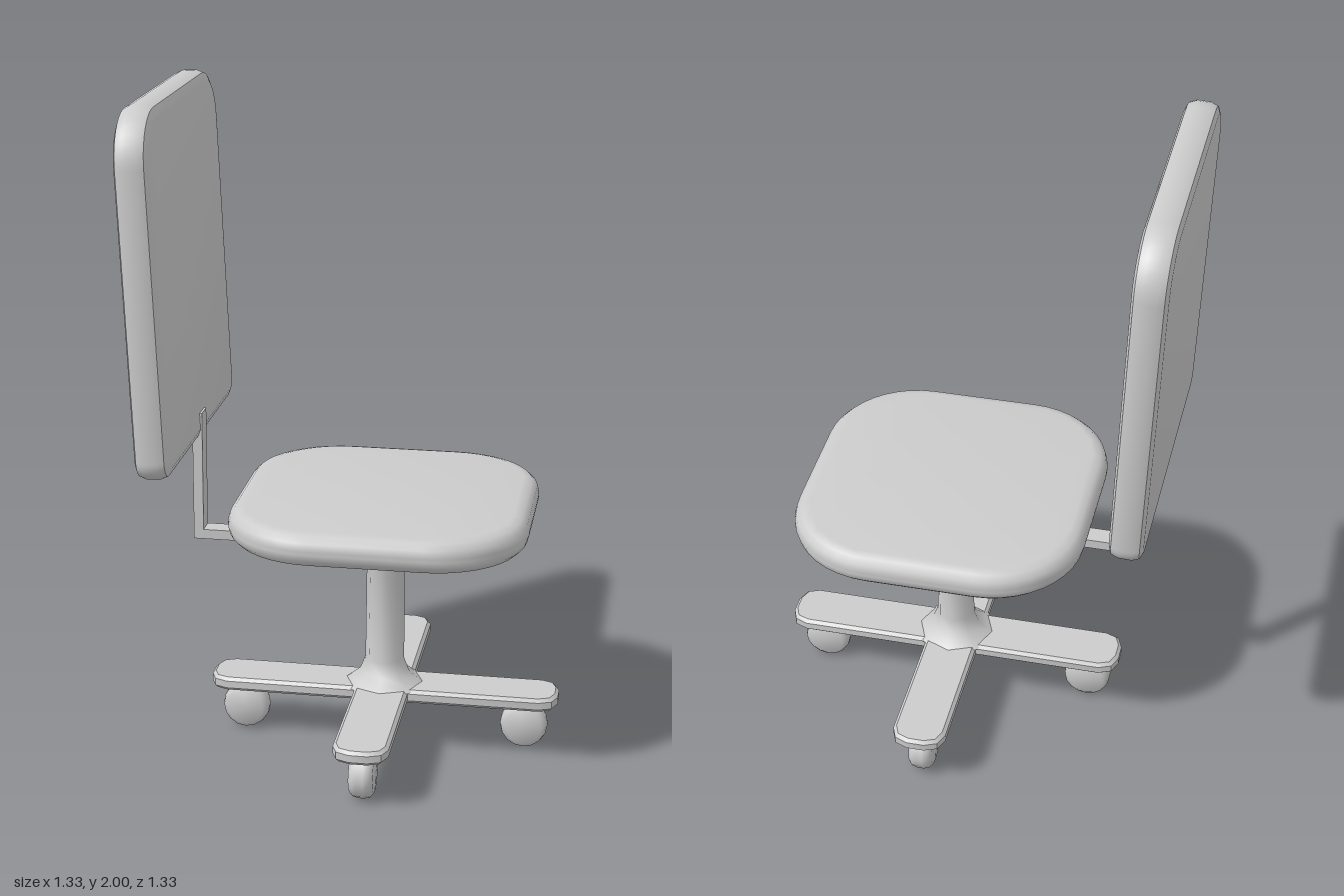
import * as THREE from 'three';
import { toCreasedNormals } from 'three/addons/utils/BufferGeometryUtils.js';

const material = new THREE.MeshStandardMaterial({ color: 0xcccccc });

function part(name, geometry, parent, x = 0, y = 0, z = 0) {
  const mesh = new THREE.Mesh(geometry, material);
  mesh.name = name;
  mesh.position.set(x, y, z);
  parent.add(mesh);
  return mesh;
}

// Rectangle w x h centred on the origin, with separate top and bottom corner radii
function roundedRect(w, h, rTop, rBottom) {
  const s = new THREE.Shape();
  const x = w / 2, y = h / 2;
  s.absarc(x - rTop, y - rTop, rTop, 0, Math.PI / 2);
  s.absarc(-x + rTop, y - rTop, rTop, Math.PI / 2, Math.PI);
  s.absarc(-x + rBottom, -y + rBottom, rBottom, Math.PI, Math.PI * 1.5);
  s.absarc(x - rBottom, -y + rBottom, rBottom, Math.PI * 1.5, Math.PI * 2);
  s.closePath();
  return s;
}

// Slab of total thickness t with rounded rims, centred on z = 0
function slab(shape, t, bevel, segments, crease) {
  const g = new THREE.ExtrudeGeometry(shape, {
    depth: t - 2 * bevel, bevelThickness: bevel, bevelSize: bevel,
    bevelOffset: -bevel, bevelSegments: segments, curveSegments: 5,
  });
  g.translate(0, 0, -t / 2 + bevel);
  return toCreasedNormals(g, crease);
}

export function createModel() {
  const model = new THREE.Group();
  model.name = 'officeChair';

  // The whole chair is turned on the floor; its own forward is local +z
  const chair = new THREE.Group();
  chair.name = 'chair';
  chair.position.set(0.142, 0, -0.15);
  chair.rotation.y = Math.PI * 0.75;
  model.add(chair);

  // Seat cushion
  const seat = slab(roundedRect(0.89, 0.89, 0.28, 0.28), 0.1, 0.045, 3, 0.75);
  seat.rotateX(-Math.PI / 2);
  part('seat', seat, chair, 0, 0.75, 0);

  // Backrest, leaning slightly backwards
  const back = slab(roundedRect(0.93, 1.06, 0.16, 0.06), 0.1, 0.03, 2, 0.6);
  part('backrest', back, chair, 0, 1.467, -0.635).rotation.x = -0.047;

  // Bracket joining backrest and seat
  const bracket = new THREE.Group();
  bracket.name = 'backBracket';
  chair.add(bracket);
  part('bracketPost', new THREE.BoxGeometry(0.06, 0.4, 0.03), bracket, 0, 0.82, -0.572);
  part('bracketBar', new THREE.BoxGeometry(0.06, 0.03, 0.25), bracket, 0, 0.635, -0.462);
  const hanger = new THREE.CylinderGeometry(0.062, 0.036, 0.07, 4);
  hanger.rotateY(Math.PI / 4);
  part('bracketHanger', toCreasedNormals(hanger, 0.5), bracket, 0, 0.68, -0.367);

  // Eight-sided column flaring into seat and base
  const columnProfile = [
    [0, 0.18], [0.125, 0.18], [0.105, 0.195], [0.075, 0.22], [0.06, 0.26],
    [0.057, 0.65], [0.07, 0.67], [0.1, 0.69], [0.105, 0.705], [0, 0.705],
  ].map(([r, y]) => new THREE.Vector2(r, y));
  part('column', toCreasedNormals(new THREE.LatheGeometry(columnProfile, 8), 0.9), chair);

  // Four-armed base outline, one arm at a time
  const w = 0.082, L = 0.535, c = 0.055;
  const arm = [[w, -w], [L - c, -w], [L - 0.016, -w + 0.016], [L, -w + c],
    [L, w - c], [L - 0.016, w - 0.016], [L - c, w]];
  const outline = [];
  for (let i = 0; i < 4; i++) {
    for (const [x, y] of arm) {
      outline.push(new THREE.Vector2(x, y).rotateAround(new THREE.Vector2(), i * Math.PI / 2));
    }
  }
  const base = slab(new THREE.Shape(outline), 0.042, 0.01, 1, 0.6);
  base.rotateX(-Math.PI / 2);
  part('base', base, chair, 0, 0.165, 0);

  // Caster wheels rolling along their arms
  const wheelProfile = [
    [0, -0.036], [0.055, -0.036], [0.068, -0.026], [0.0725, -0.01],
    [0.0725, 0.01], [0.068, 0.026], [0.055, 0.036], [0, 0.036],
  ].map(([r, y]) => new THREE.Vector2(r, y));
  const wheel = toCreasedNormals(new THREE.LatheGeometry(wheelProfile, 16), 0.75);
  wheel.rotateX(Math.PI / 2);
  for (let i = 0; i < 4; i++) {
    const caster = new THREE.Group();
    caster.name = 'caster';
    caster.rotation.y = i * Math.PI / 2;
    chair.add(caster);
    part('wheel', wheel, caster, 0.432, 0.0725, 0);
  }

  return model;
}
